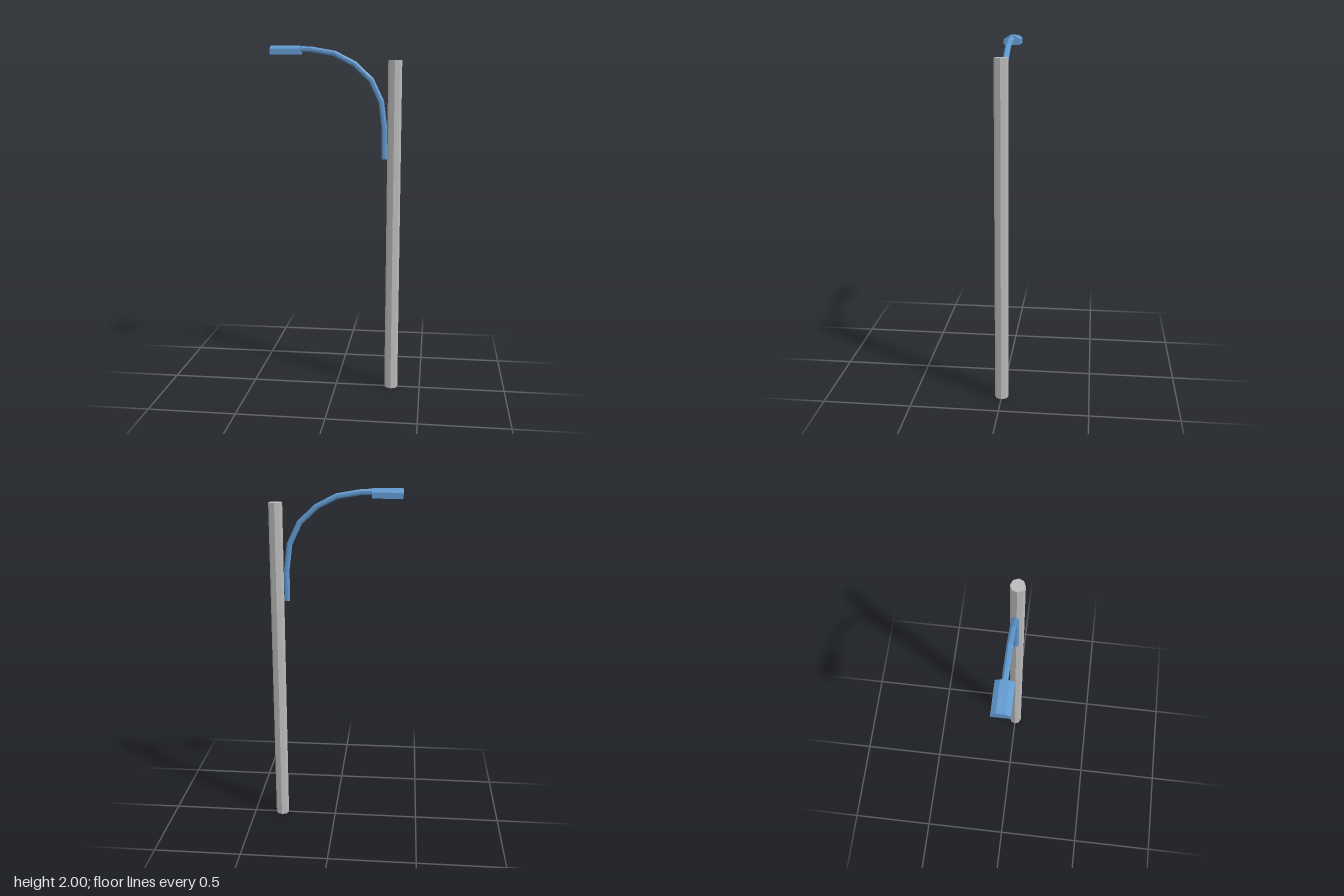
import * as THREE from 'three';

const grey = new THREE.MeshStandardMaterial({ name: 'pole grey', color: 0xbababa, flatShading: true });
const blue = new THREE.MeshStandardMaterial({ name: 'lamp blue', color: 0x6199cf, flatShading: true });

// Sweep a flat-sided octagon along a path in the xy plane, with mitred joints
function sweep(points, apothem) {
  const sides = 8;
  const r = apothem / Math.cos(Math.PI / sides);
  const p = points.map(([x, y]) => new THREE.Vector2(x, y));
  const pos = [];
  const index = [];
  p.forEach((c, i) => {
    const a = c.clone().sub(p[Math.max(i - 1, 0)]).normalize();
    const b = p[Math.min(i + 1, p.length - 1)].clone().sub(c).normalize();
    const t = a.add(b).normalize();
    for (let k = 0; k < sides; k++) {
      const ang = ((k + 0.5) / sides) * Math.PI * 2;
      const u = Math.cos(ang) * r;
      pos.push(c.x + t.y * u, c.y - t.x * u, Math.sin(ang) * r);
    }
  });
  for (let i = 0; i < p.length - 1; i++) {
    for (let k = 0; k < sides; k++) {
      const a = i * sides + k;
      const b = i * sides + ((k + 1) % sides);
      index.push(a, a + sides, b, b, a + sides, b + sides);
    }
  }
  // End caps
  const last = (p.length - 1) * sides;
  for (let k = 1; k < sides - 1; k++) {
    index.push(0, k, k + 1, last, last + k + 1, last + k);
  }
  const g = new THREE.BufferGeometry();
  g.setAttribute('position', new THREE.Float32BufferAttribute(pos, 3));
  g.setIndex(index);
  const flat = g.toNonIndexed();
  flat.computeVertexNormals();
  return flat;
}

export function createModel() {
  const group = new THREE.Group();
  group.name = 'streetLamp';
  const add = (name, geometry, material) => {
    const mesh = new THREE.Mesh(geometry, material);
    mesh.name = name;
    group.add(mesh);
    return mesh;
  };

  // Octagonal pole
  const pole = add('pole', new THREE.CylinderGeometry(0.039, 0.039, 1.92, 8), grey);
  pole.position.set(0.33, 0.96, 0);

  // Curved arm rising from the side of the pole
  add('arm', sweep([
    [0.274, 1.367], [0.274, 1.54], [0.255, 1.69], [0.198, 1.81],
    [0.102, 1.90], [-0.01, 1.957], [-0.14, 1.98], [-0.21, 1.983],
  ], 0.0155), blue);

  // Lamp head: bevelled-top section extruded along x
  const section = new THREE.Shape([
    [-0.047, 1.952], [0.047, 1.952], [0.047, 1.984],
    [0.022, 2], [-0.022, 2], [-0.047, 1.984],
  ].map(([z, y]) => new THREE.Vector2(z, y)));
  const headGeometry = new THREE.ExtrudeGeometry(section, { depth: 0.168, bevelEnabled: false });
  headGeometry.rotateY(-Math.PI / 2);
  const head = add('lampHead', headGeometry, blue);
  head.position.x = -0.202;

  return group;
}
